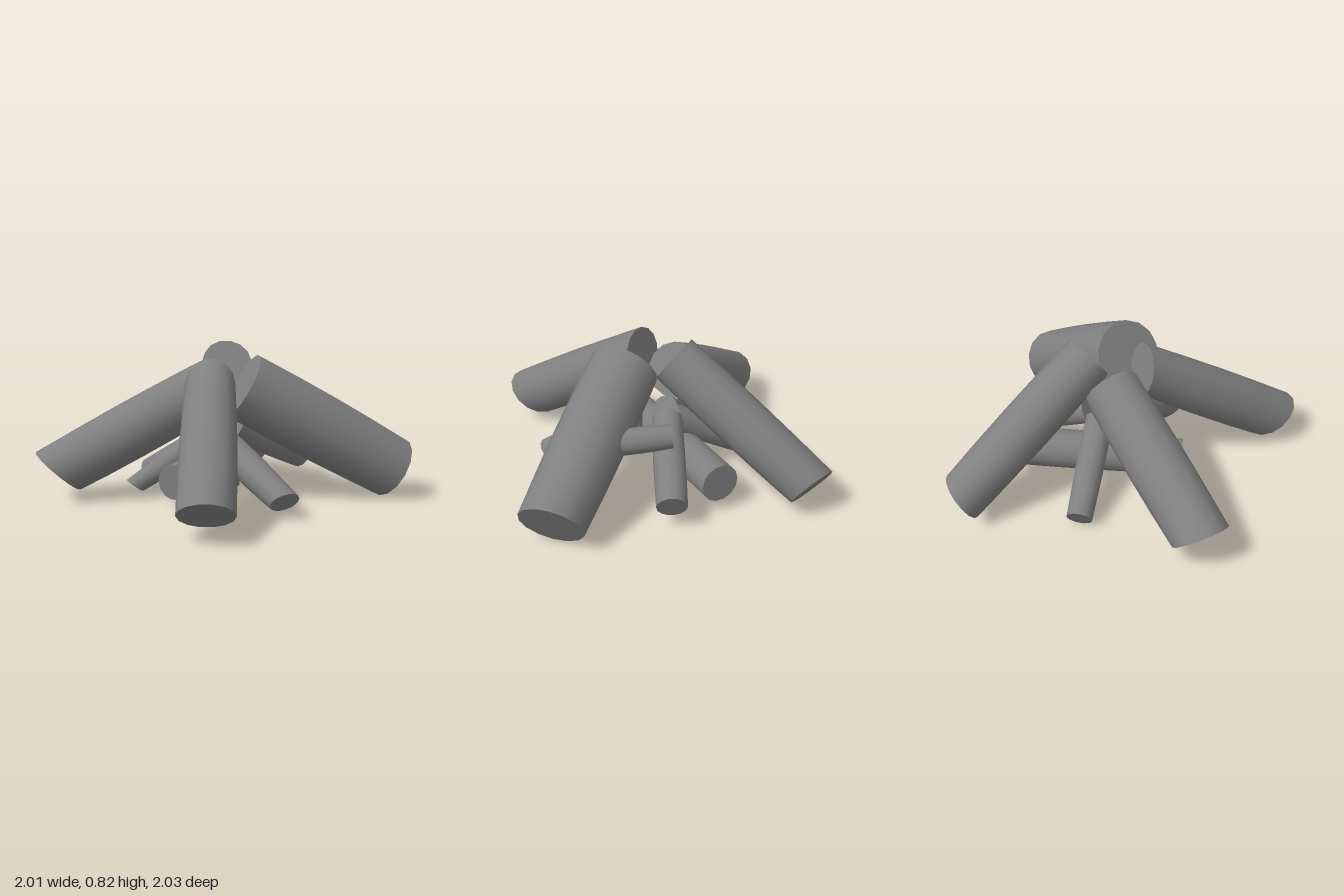
import * as THREE from 'three';
import { toCreasedNormals } from 'three/addons/utils/BufferGeometryUtils.js';

const material = new THREE.MeshStandardMaterial({ color: 0x808080 });

// A log between two end centres, slightly fuller in the middle, with slanted flat ends.
// Each cut is [up, side]: how far the end face leans along the log per unit across it.
function log(name, inner, outer, rInner, rOuter, outerCut = [0, 0], innerCut = [0, 0]) {
  const a = new THREE.Vector3(...inner);
  const b = new THREE.Vector3(...outer);
  const length = a.distanceTo(b);
  const geometry = new THREE.CylinderGeometry(rOuter, rInner, length, 14, 4);
  const pos = geometry.attributes.position;
  for (let i = 0; i < pos.count; i++) {
    const t = pos.getY(i) / length + 0.5;
    const swell = 1 + 0.05 * Math.sin(Math.PI * t);
    const up = pos.getX(i) * swell;
    const side = pos.getZ(i) * swell;
    const cut = t > 0.99 ? outerCut : t < 0.01 ? innerCut : [0, 0];
    pos.setXYZ(i, up, pos.getY(i) + cut[0] * up + cut[1] * side, side);
  }
  const mesh = new THREE.Mesh(toCreasedNormals(geometry, 0.8), material);
  mesh.name = name;
  mesh.position.copy(a).lerp(b, 0.5);
  // Local x points up across the log, y along it, z sideways
  const along = b.sub(a).normalize();
  const sideways = new THREE.Vector3(0, 1, 0).cross(along).normalize();
  const upward = along.clone().cross(sideways);
  mesh.quaternion.setFromRotationMatrix(new THREE.Matrix4().makeBasis(upward, along, sideways));
  return mesh;
}

export function createModel() {
  const pile = new THREE.Group();
  pile.name = 'logPile';

  // name, inner end, outer end, inner radius, outer radius, outer cut, inner cut
  const parts = [
    // Four large logs leaning on one another
    ['leftLog', [0.09, 0.625, 0.1], [0.91, 0.155, -0.025], 0.183, 0.17, [0, -0.12]],
    ['rightLog', [-0.1, 0.58, -0.09], [-0.895, 0.157, 0.03], 0.148, 0.146, [0.38, 0]],
    ['frontLog', [-0.08, 0.635, 0.1], [-0.115, 0.135, 0.9], 0.132, 0.142, [0.42, 0], [-0.35, 0]],
    ['backLog', [0.02, 0.72, -0.16], [-0.1, 0.145, -0.93], 0.134, 0.13, [0, 0.3]],
    // Thick branch lying across the middle
    ['crossBranch', [-0.27, 0.14, 0.25], [0.165, 0.172, -0.54], 0.095, 0.103],
    // Kindling leaning inside
    ['frontLeftStick', [0.02, 0.29, 0.11], [0.285, 0.085, 0.465], 0.085, 0.072, [0.35, 0.25]],
    ['backLeftStick', [0.05, 0.37, -0.14], [0.45, 0.15, -0.43], 0.08, 0.08],
    ['backRightStick', [-0.02, 0.34, -0.12], [-0.42, 0.06, -0.415], 0.075, 0.068],
    ['rightStick', [-0.08, 0.34, -0.05], [-0.485, 0.068, 0], 0.07, 0.05, [0.4, 0]],
    ['uprightStick', [0, 0.4, 0.12], [0.02, 0.09, 0.1], 0.055, 0.055],
    // Short side branch growing from the left log
    ['branchStub', [0.44, 0.4, -0.08], [0.255, 0.42, -0.3], 0.068, 0.062],
  ];
  for (const part of parts) pile.add(log(...part));
  return pile;
}
